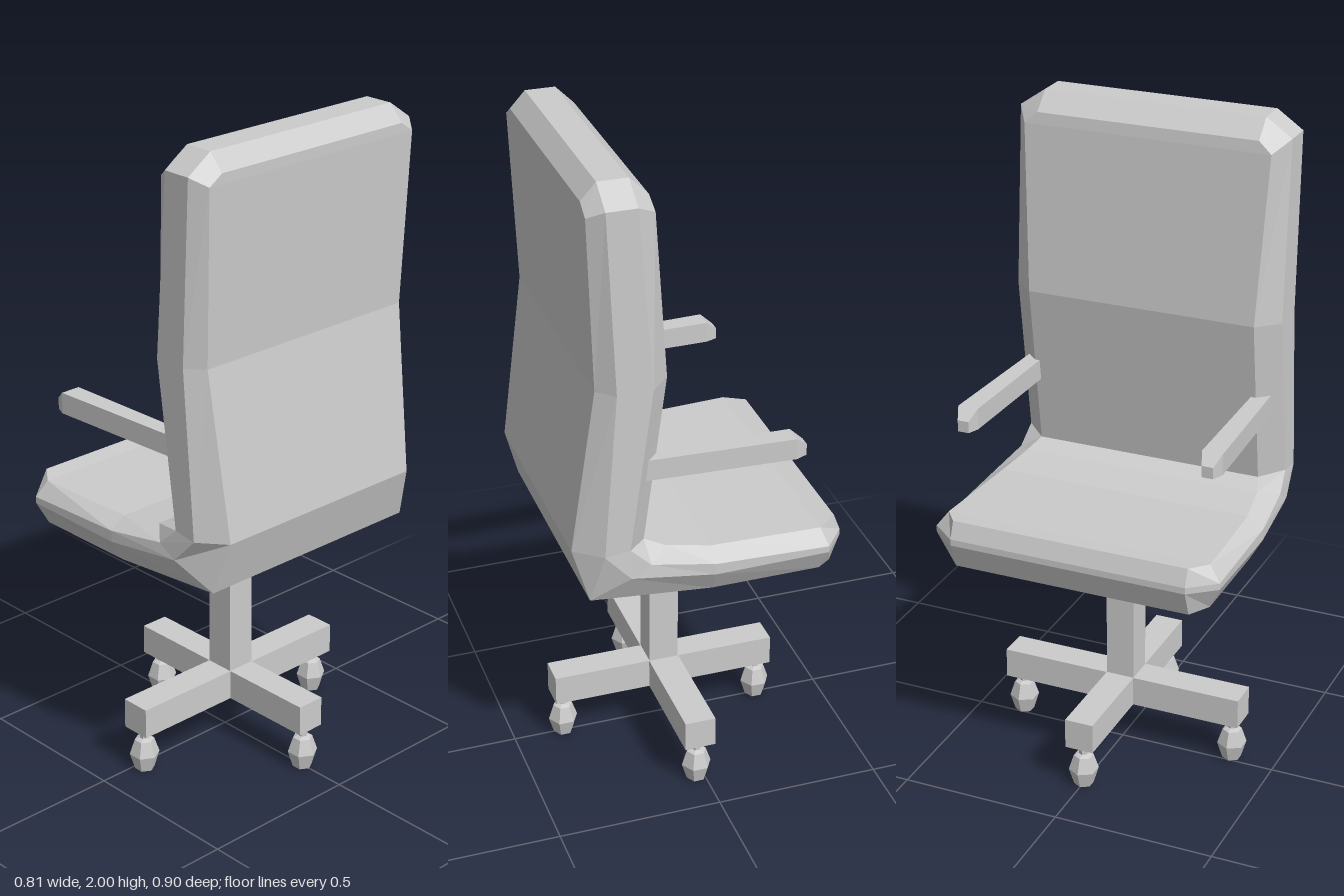
import * as THREE from 'three';

const material = new THREE.MeshStandardMaterial({ color: 0xcccccc, flatShading: true });

// Faceted geometry from polygons, each fanned from its first corner
function fromPolygons(polygons) {
  const pos = [];
  for (const p of polygons)
    for (let i = 1; i < p.length - 1; i++) pos.push(...p[0], ...p[i], ...p[i + 1]);
  const geometry = new THREE.BufferGeometry();
  geometry.setAttribute('position', new THREE.Float32BufferAttribute(pos, 3));
  geometry.computeVertexNormals();
  return geometry;
}

// Skin a row of closed rings and cap both ends; skip(s, i) leaves a quad out
function loft(rings, skip = () => false) {
  const n = rings[0].length, last = rings[rings.length - 1], polygons = [];
  for (let s = 0; s < rings.length - 1; s++)
    for (let i = 0; i < n; i++) {
      const j = (i + 1) % n;
      if (!skip(s, i)) polygons.push([rings[s][i], rings[s][j], rings[s + 1][j], rings[s + 1][i]]);
    }
  for (let i = 0; i < n / 2 - 1; i++) {
    const cap = (r) => [r[i], r[n - 1 - i], r[n - 2 - i], r[i + 1]];
    polygons.push(cap(rings[0]), cap(last).reverse());
  }
  return polygons;
}

function add(parent, name, geometry, x = 0, y = 0, z = 0) {
  const mesh = new THREE.Mesh(geometry, material);
  mesh.name = name;
  mesh.position.set(x, y, z);
  parent.add(mesh);
  return mesh;
}

// Seat and backrest: one padded shell, half sections from seat front to top of back
// each: inner edge, inner side ridge, outer side ridge, outer edge
function shellGeometry() {
  const half = [
    [[-0.39, 0.862, 0.37], [-0.41, 0.81, 0.37], [-0.41, 0.79, 0.37], [-0.38, 0.71, 0.37]],
    [[-0.33, 0.857, 0.415], [-0.345, 0.81, 0.45], [-0.345, 0.79, 0.45], [-0.33, 0.72, 0.415]],
    [[0, 0.853, 0.4], [0, 0.82, 0.45], [0, 0.785, 0.45], [0, 0.715, 0.41]],
    [[0.13, 0.868, 0.38], [0.19, 0.845, 0.432], [0.25, 0.81, 0.432], [0.36, 0.73, 0.385]],
    [[0.19, 0.89, 0.36], [0.25, 0.9, 0.425], [0.325, 0.89, 0.425], [0.405, 0.89, 0.36]],
    [[0.12, 1.4, 0.36], [0.18, 1.4, 0.425], [0.285, 1.4, 0.425], [0.335, 1.4, 0.38]],
    [[0.16, 1.91, 0.385], [0.22, 1.945, 0.425], [0.31, 1.945, 0.425], [0.355, 1.92, 0.39]],
    [[0.165, 1.945, 0.345], [0.22, 2, 0.345], [0.31, 2, 0.345], [0.355, 1.95, 0.345]],
  ];
  const flip = ([x, y, z]) => [x, y, -z];
  const rings = half.map((h) => [...h, ...h.map(flip).reverse()]);
  // Underside: shallow pyramid down to the post
  const polygons = loft(rings, (s, i) => s < 3 && i === 3);
  const apex = [0.04, 0.685, 0];
  const rim = half.slice(0, 4).map((h) => h[3]);
  const border = [...rim, ...rim.map(flip).reverse()];
  border.forEach((p, i) => polygons.push([apex, border[(i + 1) % border.length], p]));
  return fromPolygons(polygons);
}

// Armrest: tapered bar with a chamfered tip
function armGeometry(side) {
  const ring = (x, y0, y1, near, far) => {
    const lo = Math.min(side * near, side * far), hi = Math.max(side * near, side * far);
    return [[x, y1, hi], [x, y0, hi], [x, y0, lo], [x, y1, lo]];
  };
  return fromPolygons(loft([
    ring(-0.285, 1.1, 1.135, 0.365, 0.4),
    ring(-0.25, 1.1, 1.165, 0.352, 0.415),
    ring(0.24, 1.1, 1.165, 0.343, 0.393),
  ]));
}

export function createModel() {
  const chair = new THREE.Group();
  chair.name = 'officeChair';

  add(chair, 'seatAndBackrest', shellGeometry());
  for (const side of [1, -1])
    add(chair, side > 0 ? 'leftArmrest' : 'rightArmrest', armGeometry(side));

  // Post and four-legged base
  const cx = 0.025;
  add(chair, 'post', new THREE.BoxGeometry(0.092, 0.5, 0.09), cx, 0.46, 0);
  const base = new THREE.Group();
  base.name = 'base';
  chair.add(base);
  add(base, 'lengthwiseLegs', new THREE.BoxGeometry(0.705, 0.095, 0.09), cx - 0.002, 0.183, 0);
  add(base, 'crosswiseLegs', new THREE.BoxGeometry(0.095, 0.095, 0.785), cx, 0.183, 0);

  // Casters: faceted ball, thin stem and flared mount
  const profile = [[0, 0], [0.03, 0], [0.046, 0.052], [0.03, 0.1], [0.014, 0.106], [0.014, 0.122], [0.032, 0.137]]
    .map(([r, y]) => new THREE.Vector2(r, y));
  const casterGeometry = new THREE.LatheGeometry(profile, 6);
  for (const [x, z] of [[-0.295, 0], [0.343, 0], [cx, 0.358], [cx, -0.355]])
    add(base, 'caster', casterGeometry, x, 0, z).rotation.y = Math.PI / 6;

  return chair;
}
